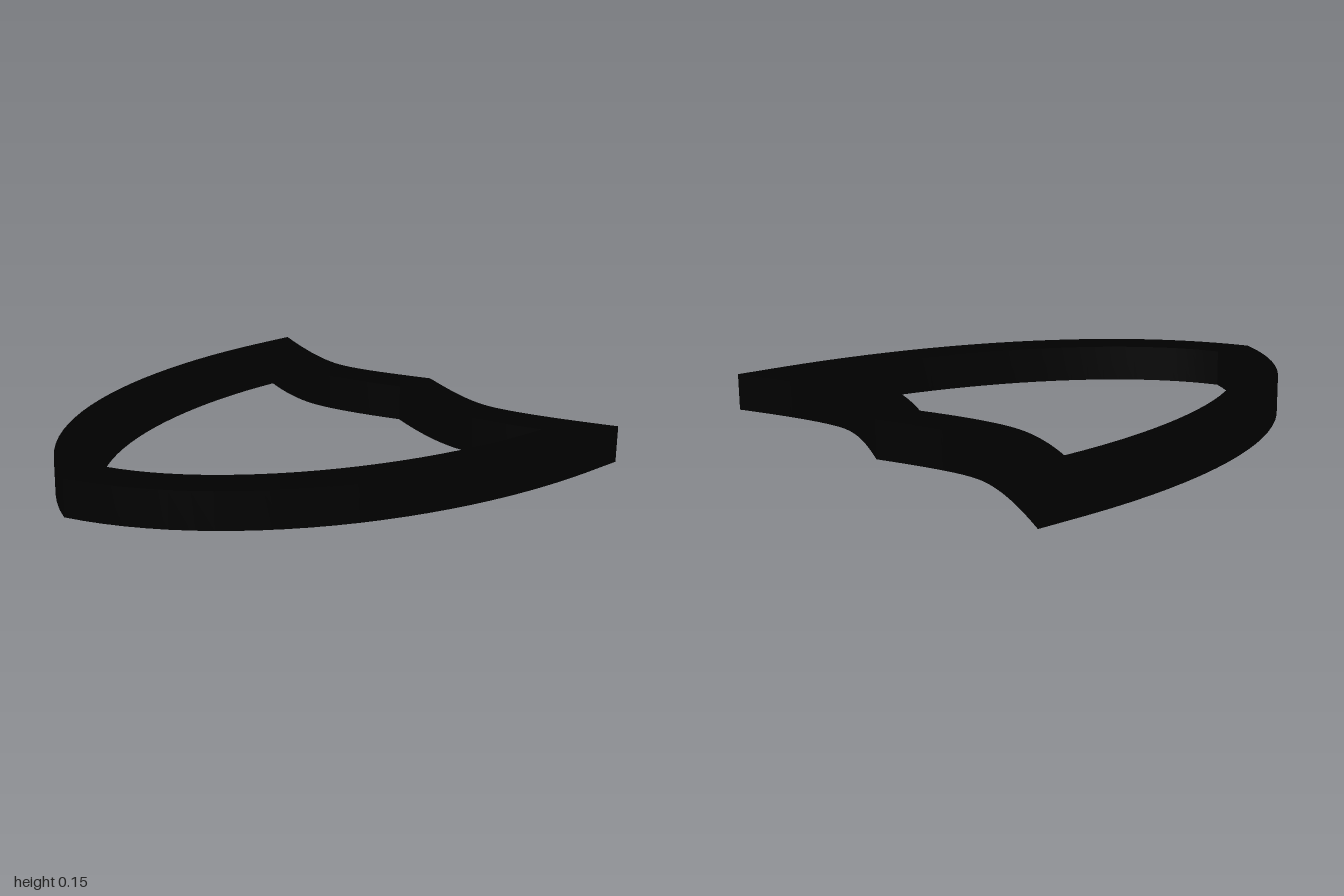
import * as THREE from 'three';
import { toCreasedNormals } from 'three/addons/utils/BufferGeometryUtils.js';

// Samples a chain of cubic curves given as [x, z] control points (each curve shares its end point).
function halfOutline(ctrl) {
  const v = ctrl.map(([x, z]) => new THREE.Vector2(x, -z));
  const pts = [v[0]];
  for (let i = 0; i + 3 < v.length; i += 3) {
    const curve = new THREE.CubicBezierCurve(v[i], v[i + 1], v[i + 2], v[i + 3]);
    pts.push(...curve.getPoints(24).slice(1));
  }
  return pts;
}

// Closes a half outline by mirroring it in x; the result runs clockwise.
function mirrored(ctrl) {
  const half = halfOutline(ctrl);
  const other = half.slice(1, -1).reverse().map((p) => new THREE.Vector2(-p.x, p.y));
  return [...half, ...other];
}

export function createModel() {
  const group = new THREE.Group();
  group.name = 'shieldFrame';

  // Outer edge: top centre peak, dip, corner, curved side, bottom point
  const outer = mirrored([
    [0, -0.965], [0.18, -0.89], [0.33, -0.83], [0.44, -0.83],
    [0.56, -0.83], [0.77, -0.91], [0.975, -1],
    [0.975, -0.94], [0.975, -0.87], [0.975, -0.8],
    [0.97, 0.03], [0.61, 0.77], [0, 1],
  ]);

  // Inner edge follows the outer one at a constant band width
  const inner = mirrored([
    [0, -0.77], [0.18, -0.695], [0.33, -0.652], [0.44, -0.652],
    [0.54, -0.652], [0.67, -0.69], [0.795, -0.74],
    [0.78, -0.01], [0.45, 0.635], [0, 0.81],
  ]);

  // Flat band lying on the ground; the hole winds opposite to the outer edge
  const shape = new THREE.Shape(outer);
  shape.holes.push(new THREE.Path(inner.reverse()));
  const geometry = new THREE.ExtrudeGeometry(shape, { depth: 0.15, bevelEnabled: false });
  geometry.rotateX(-Math.PI / 2);

  const band = new THREE.Mesh(
    toCreasedNormals(geometry, 0.4),
    new THREE.MeshStandardMaterial({ color: 0x000000 }),
  );
  band.name = 'shieldBand';
  group.add(band);
  return group;
}
